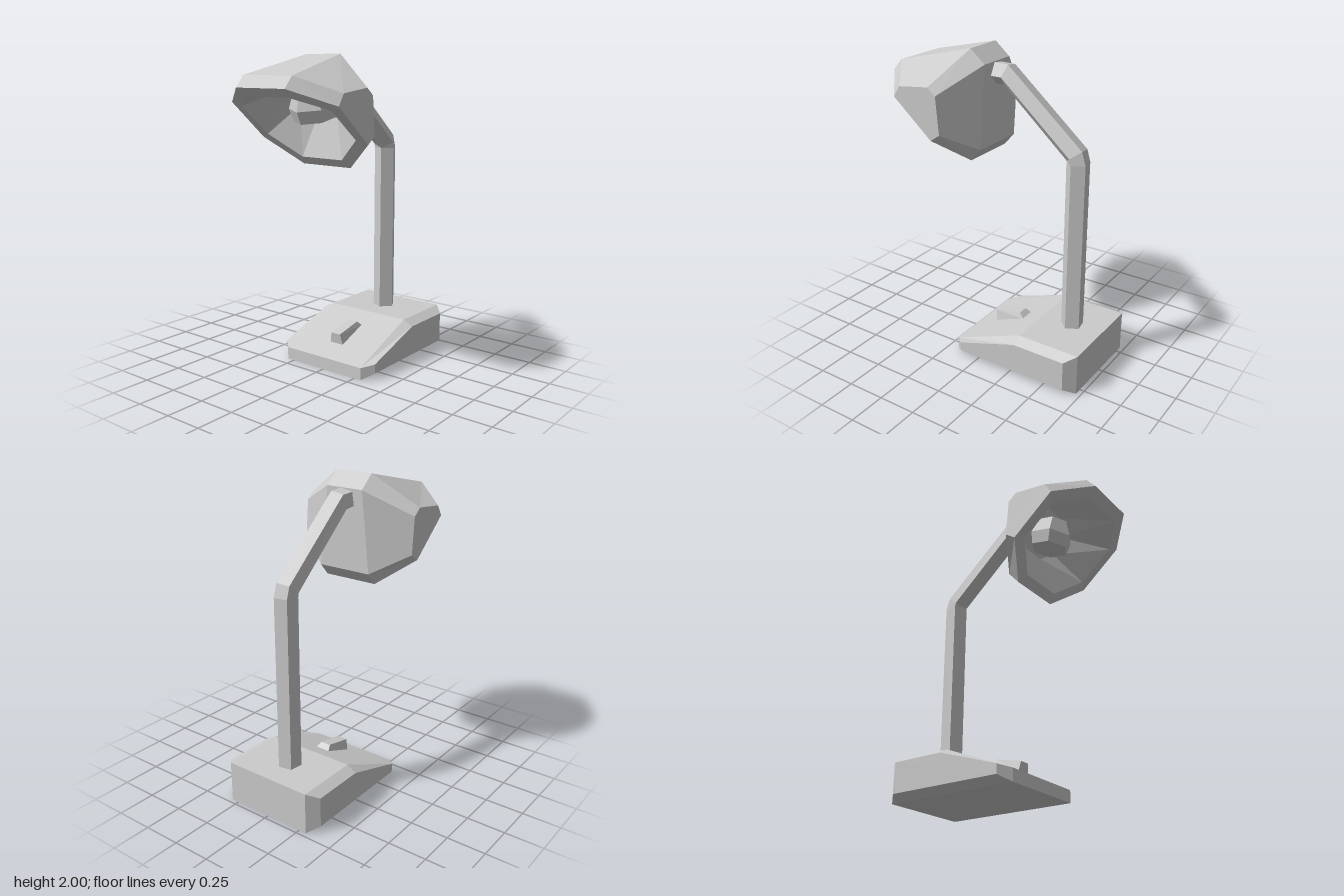
import * as THREE from 'three';

const material = new THREE.MeshStandardMaterial({
  color: 0xcccccc, flatShading: true, side: THREE.DoubleSide,
});

// Faceted skin over a list of loops of [x, y, z] points, with both ends capped.
// Each loop runs clockwise as seen from the last loop's end.
function loft(name, loops) {
  const out = [];
  const tri = (a, b, c) => {
    const [A, B, C] = [a, b, c].map((p) => new THREE.Vector3(...p));
    const area = B.clone().sub(A).cross(C.clone().sub(A)).length();
    if (area > 1e-6) out.push(...a, ...b, ...c);
  };
  const cap = (l) => {
    for (let i = 1; i < l.length - 1; i++) tri(l[0], l[i], l[i + 1]);
  };
  cap(loops[0]);
  for (let k = 0; k < loops.length - 1; k++) {
    const a = loops[k], b = loops[k + 1], n = a.length;
    for (let i = 0; i < n; i++) {
      const j = (i + 1) % n;
      tri(a[i], b[i], b[j]);
      tri(a[i], b[j], a[j]);
    }
  }
  cap([...loops[loops.length - 1]].reverse());
  const geometry = new THREE.BufferGeometry();
  geometry.setAttribute('position', new THREE.Float32BufferAttribute(out, 3));
  geometry.computeVertexNormals();
  const mesh = new THREE.Mesh(geometry, material);
  mesh.name = name;
  return mesh;
}

// Side profile of [z, y] points placed at x
const atX = (x, profile) => profile.map(([z, y]) => [x, y, z]);

// Half loop on the +x side, completed by its mirror image
const mirrored = (half) => [...half, ...[...half].reverse().map(([x, y, z]) => [-x, y, z])];

// Wedge base with chamfered sides
function makeBase() {
  const inner = [[0.18, 0], [0.18, 0.08], [-0.3, 0.27], [-0.72, 0.27], [-0.72, 0]];
  const outer = [[0.115, 0.04], [0.115, 0.1], [-0.3, 0.235], [-0.655, 0.235], [-0.655, 0.04]];
  return loft('base', [
    atX(-0.365, outer), atX(-0.3, inner), atX(0.3, inner), atX(0.365, outer),
  ]);
}

// Tapered switch lying on the slope
function makeSwitch() {
  const side = (s) => [
    [s * 0.05, 0.135, 0.04], [s * 0.035, 0.205, 0.05],
    [s * 0.035, 0.245, -0.135], [s * 0.05, 0.215, -0.17],
  ];
  return loft('switch', [side(-1), side(1)]);
}

// Five-sided bent stem: each station is centre z, y and the [z, y] direction of its depth
function makeStem() {
  const stations = [
    [-0.508, 0.2, 1, 0],
    [-0.508, 1.38, 1, 0],
    [-0.495, 1.425, 0.8, -0.6],
    [-0.01, 1.845, 0.3, -0.95],
    [0.1, 1.845, 0, -1],
  ];
  return loft('stem', stations.map(([z, y, dz, dy]) =>
    Array.from({ length: 5 }, (_, i) => {
      const a = THREE.MathUtils.degToRad(10 - 72 * i);
      const depth = 0.074 * Math.cos(a);
      return [-0.006 + 0.074 * Math.sin(a), y + dy * depth, z + dz * depth];
    })));
}

// Hollow faceted shade, from the crown over the rim and into the cavity
function makeShade() {
  const top = [0.13, 2, 0.165], back = [0.13, 1.915, 0.065];
  const loops = [
    [top, top, back, back],
    [top, [0.41, 1.81, 0.275], [0.41, 1.765, 0.22], back],
    // outer band
    [[0.185, 1.88, 0.66], [0.41, 1.785, 0.49], [0.41, 1.53, 0.2], [0.185, 1.4, 0.065]],
    // rim, outer and inner edge
    [[0.185, 1.81, 0.72], [0.41, 1.715, 0.535], [0.41, 1.485, 0.265], [0.185, 1.32, 0.135]],
    [[0.155, 1.76, 0.66], [0.345, 1.69, 0.52], [0.345, 1.51, 0.295], [0.155, 1.37, 0.185]],
    // cavity floor
    [[0.08, 1.88, 0.3], [0.18, 1.8, 0.24], [0.18, 1.69, 0.17], [0.08, 1.62, 0.13]],
  ];
  return loft('shade', loops.map(mirrored));
}

// Six-sided bulb inside the shade
function makeBulb() {
  const profile = [[0, -0.08], [0.125, -0.08], [0.145, 0], [0.1, 0.11], [0, 0.13]]
    .map(([r, y]) => new THREE.Vector2(r, y));
  const bulb = new THREE.Mesh(new THREE.LatheGeometry(profile, 6), material);
  bulb.position.set(0, 1.69, 0.27);
  bulb.rotation.x = 0.2;
  bulb.name = 'bulb';
  return bulb;
}

export function createModel() {
  const lamp = new THREE.Group();
  lamp.name = 'deskLamp';
  lamp.add(makeBase(), makeSwitch(), makeStem(), makeShade(), makeBulb());
  return lamp;
}
